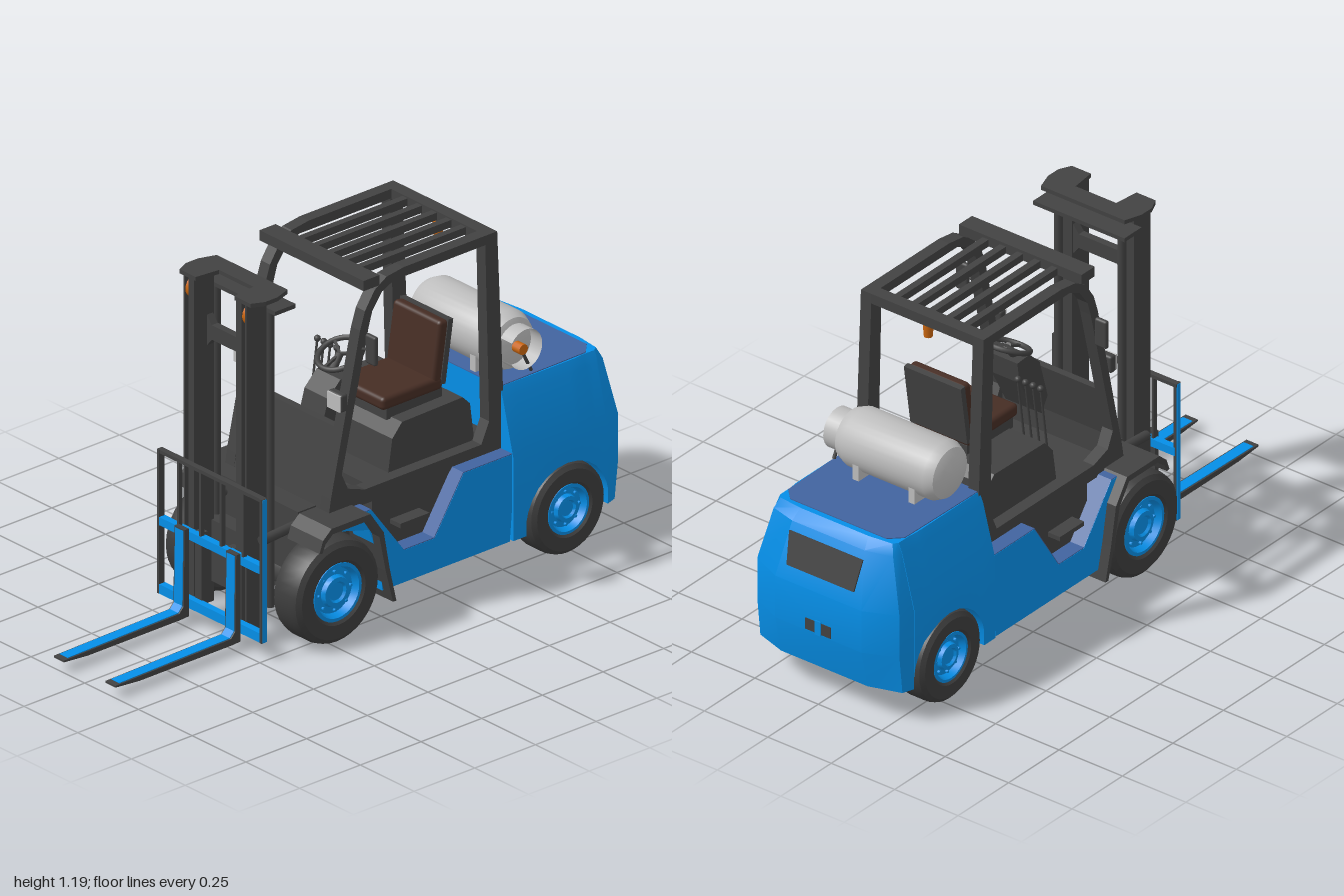
import * as THREE from 'three';
import { toCreasedNormals } from 'three/addons/utils/BufferGeometryUtils.js';
import { RoundedBoxGeometry } from 'three/addons/geometries/RoundedBoxGeometry.js';

const mat = (name, color) => Object.assign(new THREE.MeshStandardMaterial({ color }), { name });

export function createModel() {
  const blue = mat('blue paint', 0x058fe8), slate = mat('slate blue decks', 0x41639f);
  const dark = mat('charcoal paint', 0x424242), rubber = mat('tyre rubber', 0x3d3d3d);
  const brown = mat('brown seat', 0x462d24), grey = mat('light grey metal', 0xbdbdbd), orange = mat('orange', 0xc9650f);
  grey.side = THREE.DoubleSide;
  const root = new THREE.Group();
  root.name = 'forklift';

  const add = (name, geo, m, x = 0, y = 0, z = 0, parent = root) => {
    const mesh = new THREE.Mesh(geo, m);
    mesh.name = name;
    mesh.position.set(x, y, z);
    parent.add(mesh);
    return mesh;
  };
  // box given by its limits on each axis
  const box = (name, m, x0, x1, y0, y1, z0, z1) =>
    add(name, new THREE.BoxGeometry(x1 - x0, y1 - y0, z1 - z0), m, (x0 + x1) / 2, (y0 + y1) / 2, (z0 + z1) / 2);
  const pair = (name, m, x0, x1, ...r) => {
    box(name, m, x0, x1, ...r);
    box(name, m, -x1, -x0, ...r);
  };
  const shapeOf = (pts) => new THREE.Shape(pts.map((p) => new THREE.Vector2(...p)));
  // side profile of [z, y] points, extruded from x0 to x1
  const side = (name, m, pts, x0, x1, hole) => {
    const shape = shapeOf(pts);
    if (hole) shape.holes.push(shapeOf(hole));
    const g = new THREE.ExtrudeGeometry(shape, { depth: x1 - x0, bevelEnabled: false });
    g.rotateY(-Math.PI / 2).translate(x1, 0, 0);
    return add(name, g, m);
  };
  const sides = (name, m, pts, x0, x1, hole) => {
    side(name, m, pts, x0, x1, hole);
    side(name, m, pts, -x1, -x0, hole);
  };
  const rod = (name, m, a, b, r, n = 10) => {
    const A = new THREE.Vector3(...a), B = new THREE.Vector3(...b), d = B.clone().sub(A);
    const mesh = add(name, new THREE.CylinderGeometry(r, r, d.length(), n), m);
    mesh.position.copy(A).add(B).multiplyScalar(0.5);
    mesh.quaternion.setFromUnitVectors(new THREE.Vector3(0, 1, 0), d.normalize());
    return mesh;
  };
  const lathe = (pts, n = 32) => toCreasedNormals(
    new THREE.LatheGeometry(pts.map((p) => new THREE.Vector2(...p)), n).rotateZ(-Math.PI / 2), 0.6);

  // counterweight: cross-sections along z, bottom edge cut by the wheel arch
  const stations = [[-0.5, 0.3, 0], [-0.5551, 0.3, 0]];
  for (let i = 0; i <= 12; i++) {
    const z = -0.725 + 0.17 * Math.cos((i / 12) * Math.PI);
    stations.push([z, z < -0.84 ? 0.295 : 0.3, 0]);
  }
  stations.push([-0.8951, 0.293, 0], [-0.95, 0.28, 0.5], [-1, 0.17, 1]);
  const pos = [], idx = [], n = 10;
  stations.forEach(([z, w, f], s) => {
    const inArch = s > 1 && s < 15;
    const yb = inArch ? 0.14 + Math.sqrt(Math.max(0, 0.172 ** 2 - (z + 0.725) ** 2)) : 0.115;
    const rows = [[1, yb, 0.03], [1, Math.max(0.25, yb + 0.02), 0], [1, 0.4, 0], [0.84, 0.585, 0.05], [0.79, 0.62, 0.08]];
    for (const [k, y, dz] of rows) pos.push(-w * k, y, z + dz * f);
    for (const [k, y, dz] of rows.slice().reverse()) pos.push(w * k, y, z + dz * f);
    if (s) for (let u = 0; u < n; u++) {
      const a = (s - 1) * n + u, b = (s - 1) * n + (u + 1) % n;
      idx.push(a, b, a + n, b, b + n, a + n);
    }
  });
  const last = (stations.length - 1) * n;
  for (let i = 0; i < 4; i++) {
    const q = [i, i + 1, 9 - i, i + 1, 8 - i, 9 - i];
    idx.push(...q.map((k) => k + last), ...q.slice().reverse());
  }
  const cw = new THREE.BufferGeometry();
  cw.setAttribute('position', new THREE.Float32BufferAttribute(pos, 3));
  cw.setIndex(idx);
  add('counterweight', toCreasedNormals(cw, 0.45), blue);
  const deck = shapeOf([[-0.236, -0.5], [0.236, -0.5], [0.23, -0.86], [0.19, -0.9], [-0.19, -0.9], [-0.23, -0.86]].reverse());
  add('counterweightDeck', new THREE.ExtrudeGeometry(deck, { depth: 0.003, bevelEnabled: false }).rotateX(Math.PI / 2), slate, 0, 0.623, 0);
  const grille = shapeOf([[-0.132, -0.055], [0.132, -0.055], [0.145, 0.055], [-0.145, 0.055]]);
  const grilleMesh = add('rearGrille', new THREE.ExtrudeGeometry(grille, { depth: 0.009, bevelEnabled: false }).translate(0, 0, -0.0045),
    dark, 0, 0.502, -0.973);
  grilleMesh.rotation.x = 0.27;
  box('towSlot', dark, -0.05, 0.05, 0.255, 0.295, -1.002, -0.994);
  box('towPin', blue, -0.012, 0.012, 0.25, 0.3, -1.004, -0.996);
  box('rearUndercarriage', dark, -0.18, 0.18, 0.11, 0.32, -0.9, -0.5);

  // blue side bodies with the step notch and slate upper faces
  sides('sideBody', blue, [[0.2, 0.405], [0.08, 0.405], [-0.055, 0.225], [-0.18, 0.225], [-0.3, 0.41], [-0.515, 0.41],
    [-0.49, 0.115], [0.035, 0.115], [0.045, 0.22], [0.09, 0.34], [0.2, 0.37]], 0.2, 0.295);
  sides('sideBodyTop', slate, [[0.2, 0.405], [0.2, 0.408], [0.0815, 0.408], [-0.0535, 0.228], [-0.1785, 0.228], [-0.2985, 0.413],
    [-0.515, 0.413], [-0.515, 0.41], [-0.3, 0.41], [-0.18, 0.225], [-0.055, 0.225], [0.08, 0.405]], 0.2, 0.294);
  box('chassis', dark, -0.24, 0.24, 0.11, 0.45, -0.5, 0.03);
  box('frontChassis', dark, -0.18, 0.18, 0.13, 0.42, 0.03, 0.28);
  pair('step', dark, 0.2, 0.288, 0.3, 0.315, -0.165, -0.045);
  rod('frontAxle', dark, [-0.2, 0.175, 0.229], [0.2, 0.175, 0.229], 0.06, 16);
  rod('rearAxle', dark, [-0.2, 0.15, -0.725], [0.2, 0.15, -0.725], 0.04, 12);

  // front fenders with mud flaps
  const fender = [[0.325, 0.345], [0.31, 0.385], [0.275, 0.415], [0.115, 0.415], [0.06, 0.335], [0.035, 0.2], [0.008, 0.085],
    [0.022, 0.085], [0.052, 0.2], [0.078, 0.325], [0.125, 0.395], [0.27, 0.395], [0.3, 0.37], [0.313, 0.342]];
  sides('frontFender', dark, fender, 0.18, 0.33);

  // wheels
  const wheel = (name, x, z, R, w, rim) => {
    for (const s of [1, -1]) {
      const g = new THREE.Group(), h = w / 2;
      g.name = name;
      g.position.set(s * x, R, z);
      g.rotation.y = s > 0 ? 0 : Math.PI;
      root.add(g);
      add('tyre', lathe([[0, -h * 0.8], [rim, -h * 0.8], [rim * 1.1, -h], [R * 0.88, -h], [R * 0.97, -h * 0.8], [R, -h * 0.5],
        [R, h * 0.5], [R * 0.97, h * 0.8], [R * 0.88, h], [rim * 1.1, h], [rim, h * 0.85], [rim, h * 0.3]], 36), rubber, 0, 0, 0, g);
      add('rim', lathe([[rim, h * 0.5], [rim, h * 0.9], [rim * 0.88, h * 0.92], [rim * 0.78, h * 0.55], [rim * 0.55, h * 0.6],
        [rim * 0.5, h * 0.85], [rim * 0.36, h * 0.88], [rim * 0.3, h * 0.75], [0, h * 0.75]], 32), blue, 0, 0, 0, g);
      for (let i = 0; i < 8; i++) {
        const a = (i / 8) * Math.PI * 2;
        add('wheelNut', new THREE.CylinderGeometry(0.005, 0.005, 0.012, 6).rotateZ(Math.PI / 2), blue,
          h * 0.62, Math.cos(a) * rim * 0.67, Math.sin(a) * rim * 0.67, g);
      }
    }
  };
  wheel('frontWheel', 0.252, 0.229, 0.175, 0.124, 0.098);
  wheel('rearWheel', 0.25, -0.725, 0.154, 0.12, 0.084);

  // overhead guard: side frames, cross members and roof bars
  sides('guardFrame', dark, [[0.21, 0.4], [0.2, 0.46], [0.08, 1.0], [0.06, 1.06], [0.02, 1.12], [-0.03, 1.15], [-0.1, 1.16], [-0.485, 1.16],
    [-0.518, 0.41], [-0.3, 0.4]], 0.2, 0.242,
  [[0.155, 0.53], [0.13, 0.475], [0.06, 0.45], [-0.42, 0.45], [-0.452, 0.52], [-0.436, 1.128], [-0.06, 1.128], [-0.01, 1.105],
    [0.03, 1.05], [0.045, 1.0]]);
  box('roofFrontBar', dark, -0.242, 0.242, 1.13, 1.165, 0.0, 0.065);
  box('roofRearBar', dark, -0.2, 0.2, 1.125, 1.16, -0.485, -0.44);
  for (let i = 0; i < 5; i++) {
    const x = -0.136 + i * 0.068;
    box('roofBar', dark, x - 0.012, x + 0.012, 1.13, 1.155, -0.46, 0.02);
  }
  add('beacon', new THREE.CylinderGeometry(0.018, 0.014, 0.05, 16), orange, 0, 1.095, -0.455);

  // front cowl, dashboard and controls
  side('frontCowl', dark, [[0.21, 0.4], [0.198, 0.46], [0.15, 0.68], [0.125, 0.68], [0.165, 0.5], [0.16, 0.4]], -0.2, 0.2);
  side('dashboard', dark, [[0.13, 0.58], [0.09, 0.72], [0.04, 0.77], [-0.02, 0.765], [-0.01, 0.69], [0.06, 0.56], [0.1, 0.53]], -0.005, 0.105);
  rod('steeringColumn', dark, [0.035, 0.74, 0.03], [0.035, 0.815, -0.02], 0.013);
  const tilt = -Math.PI / 2 + 0.4;
  add('steeringWheel', new THREE.TorusGeometry(0.073, 0.009, 10, 32), dark, 0.035, 0.815, -0.02).rotation.x = tilt;
  for (let i = 0; i < 3; i++) {
    const spoke = add('steeringSpoke', new THREE.BoxGeometry(0.01, 0.07, 0.008).translate(0, 0.036, 0), dark, 0.035, 0.815, -0.02);
    spoke.rotation.set(tilt, 0, (i * 2 * Math.PI) / 3 + Math.PI);
  }
  for (let i = 0; i < 4; i++) {
    const x = -0.16 + i * 0.03;
    rod('lever', dark, [x, 0.45, -0.055], [x, 0.77, -0.1], 0.004, 6);
    add('leverKnob', new THREE.SphereGeometry(0.011, 10, 8), dark, x, 0.772, -0.1);
  }

  // engine hood and seat
  side('engineHood', dark, [[-0.07, 0.43], [-0.09, 0.56], [-0.13, 0.605], [-0.38, 0.61], [-0.41, 0.58], [-0.43, 0.43]], -0.2, 0.2);
  box('seatBase', dark, -0.06, 0.15, 0.6, 0.64, -0.34, -0.11);
  add('seatCushion', new RoundedBoxGeometry(0.225, 0.045, 0.25, 3, 0.015), brown, 0.045, 0.658, -0.215);
  const back = add('seatBack', new RoundedBoxGeometry(0.222, 0.215, 0.04, 3, 0.014), brown, 0.045, 0.76, -0.33);
  const shell = add('seatShell', new THREE.BoxGeometry(0.225, 0.215, 0.02), dark, 0.045, 0.76, -0.353);
  back.rotation.x = shell.rotation.x = -0.15;

  // headlights and mirrors
  for (const s of [1, -1]) {
    add('headlightHousing', new RoundedBoxGeometry(0.066, 0.06, 0.028, 2, 0.008), dark, s * 0.217, 0.775, 0.15);
    add('headlightLens', new THREE.BoxGeometry(0.06, 0.054, 0.006), grey, s * 0.217, 0.775, 0.165);
    add('mirror', new RoundedBoxGeometry(0.048, 0.1, 0.018, 2, 0.008), dark, s * 0.274, 0.94, 0.06);
    rod('mirrorArm', dark, [s * 0.22, 0.93, 0.075], [s * 0.27, 0.94, 0.062], 0.005, 6);
  }

  // gas tank on its cradle
  add('gasTank', lathe([[0, -0.22], [0.055, -0.215], [0.085, -0.2], [0.1, -0.17], [0.1, 0.15], [0.085, 0.185], [0.05, 0.2], [0, 0.2]]),
    grey, 0, 0.72, -0.6);
  const collar = new THREE.CylinderGeometry(0.068, 0.068, 0.06, 24, 1, true, 0.5, 5.2).rotateZ(-Math.PI / 2);
  add('tankCollar', collar, grey, 0.215, 0.72, -0.6);
  rod('tankValve', orange, [0.19, 0.715, -0.6], [0.235, 0.715, -0.6], 0.018, 12);
  rod('tankHose', dark, [0.225, 0.71, -0.6], [0.225, 0.63, -0.64], 0.006, 6);
  for (const x of [-0.12, 0.1]) box('tankCradle', grey, x - 0.012, x + 0.012, 0.61, 0.68, -0.69, -0.51);

  // mast: channels, pistons, cross members and top plate
  pair('mastOuterRail', dark, 0.14, 0.146, 0.05, 1.175, 0.38, 0.463);
  pair('mastInnerRail', dark, 0.098, 0.124, 0.05, 1.175, 0.38, 0.463);
  pair('mastWeb', dark, 0.11, 0.142, 0.05, 1.175, 0.38, 0.43);
  for (const s of [1, -1]) {
    rod('liftPiston', dark, [s * 0.125, 0.1, 0.347], [s * 0.125, 1.13, 0.347], 0.014, 14);
    add('chainPulley', new THREE.CylinderGeometry(0.038, 0.038, 0.015, 20).rotateZ(Math.PI / 2), orange, s * 0.132, 1.128, 0.424);
    rod('tiltCylinder', dark, [s * 0.165, 0.36, 0.42], [s * 0.165, 0.375, 0.2], 0.016);
  }
  box('pistonCap', dark, -0.18, 0.18, 1.122, 1.136, 0.29, 0.375);
  const plate = shapeOf([[-0.185, 0.42], [-0.185, 0.37], [-0.165, 0.31], [0.165, 0.31], [0.185, 0.37], [0.185, 0.42], [0.165, 0.463],
    [0.09, 0.463], [0.08, 0.375], [-0.08, 0.375], [-0.09, 0.463], [-0.165, 0.463]]);
  add('mastTopPlate', new THREE.ExtrudeGeometry(plate, { depth: 0.014, bevelEnabled: false }).rotateX(Math.PI / 2), dark, 0, 1.186, 0);
  const cross = shapeOf([[-0.1, 0.93], [-0.075, 0.96], [0.075, 0.96], [0.1, 0.93], [0.1, 1.04], [0.075, 1.01], [-0.075, 1.01], [-0.1, 1.04]]);
  add('mastCrossMember', new THREE.ExtrudeGeometry(cross, { depth: 0.025, bevelEnabled: false }), dark, 0, 0, 0.385);
  box('mastFoot', dark, -0.12, 0.12, 0.12, 0.33, 0.33, 0.39);

  // carriage and load backrest
  box('carriageUpperBar', blue, -0.24, 0.24, 0.292, 0.32, 0.462, 0.486);
  box('carriageLowerBar', blue, -0.24, 0.24, 0.058, 0.09, 0.462, 0.486);
  pair('carriagePlate', dark, 0.06, 0.09, 0.06, 0.32, 0.44, 0.465);
  box('backrestTop', dark, -0.245, 0.245, 0.538, 0.55, 0.465, 0.485);
  for (const x of [0.048, 0.15]) pair('backrestBar', dark, x - 0.004, x + 0.004, 0.315, 0.545, 0.467, 0.483);
  pair('backrestPost', dark, 0.234, 0.244, 0.058, 0.55, 0.465, 0.487);
  pair('backrestPostSide', blue, 0.244, 0.247, 0.06, 0.548, 0.468, 0.484);

  // forks with blue wear faces
  sides('fork', dark, [[0.486, 0.03], [0.486, 0.33], [0.503, 0.33], [0.507, 0.07], [0.525, 0.05], [1.0, 0.042], [1.0, 0.036], [0.9, 0.028],
    [0.52, 0.028]], 0.096, 0.144);
  sides('forkFace', blue, [[0.503, 0.325], [0.505, 0.326], [0.509, 0.071], [0.526, 0.0525], [0.98, 0.0445], [0.98, 0.042], [0.525, 0.05],
    [0.507, 0.07]], 0.101, 0.139);
  return root;
}
